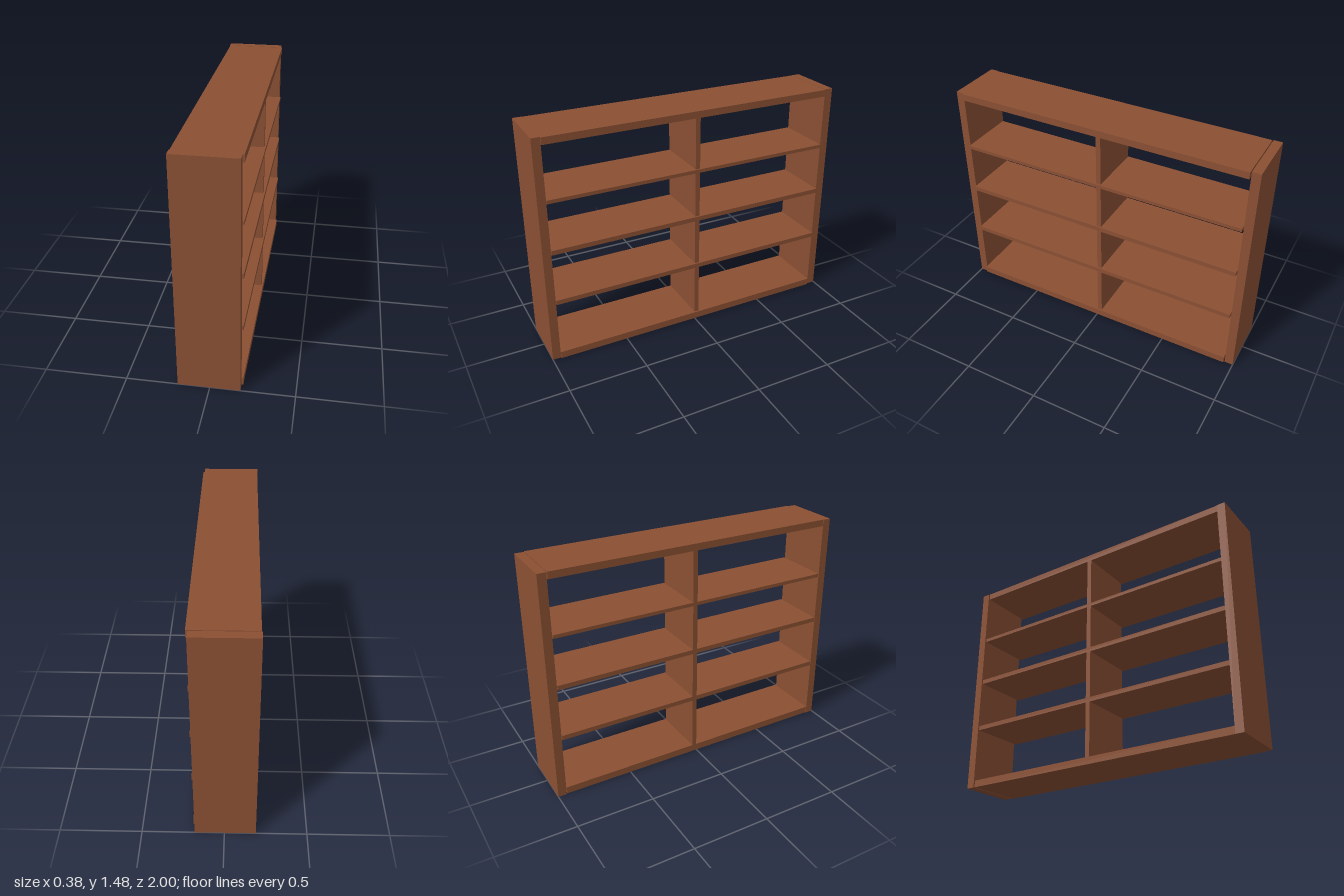
import * as THREE from 'three';

export function createModel() {
  const model = new THREE.Group();
  model.name = 'bookcase';
  const wood = new THREE.MeshStandardMaterial({ color: 0x8b5033 });
  wood.name = 'brown wood';

  // Board given by its lower and upper limits on each axis
  function board(name, [x0, x1], [y0, y1], [z0, z1]) {
    const mesh = new THREE.Mesh(new THREE.BoxGeometry(x1 - x0, y1 - y0, z1 - z0), wood);
    mesh.name = name;
    mesh.position.set((x0 + x1) / 2, (y0 + y1) / 2, (z0 + z1) / 2);
    model.add(mesh);
  }

  const height = 1.476;
  const uprightDepth = [-0.191, 0.18];
  const shelfDepth = [-0.187, 0.19]; // shelves stand slightly proud of the uprights
  const shelfSpan = [-0.939, 0.947];

  // End panels
  board('leftEndPanel', uprightDepth, [0, height], [0.947, 1]);
  board('rightEndPanel', uprightDepth, [0, height], [-1, -0.945]);

  // Thick base and top, thinner shelves between
  board('base', shelfDepth, [0.001, 0.047], shelfSpan);
  board('top', shelfDepth, [1.432, height], shelfSpan);
  const shelves = [[0.4, 0.43], [0.745, 0.775], [1.077, 1.1]];
  shelves.forEach((y, i) => board(`shelf${i + 1}`, shelfDepth, y, shelfSpan));

  // Central divider, one piece per row
  const edges = [0.047, ...shelves.flat(), 1.432];
  for (let i = 0; i < edges.length; i += 2) {
    board(`divider${i / 2 + 1}`, [-0.187, 0.18], [edges[i], edges[i + 1]], [-0.033, -0.002]);
  }
  return model;
}
